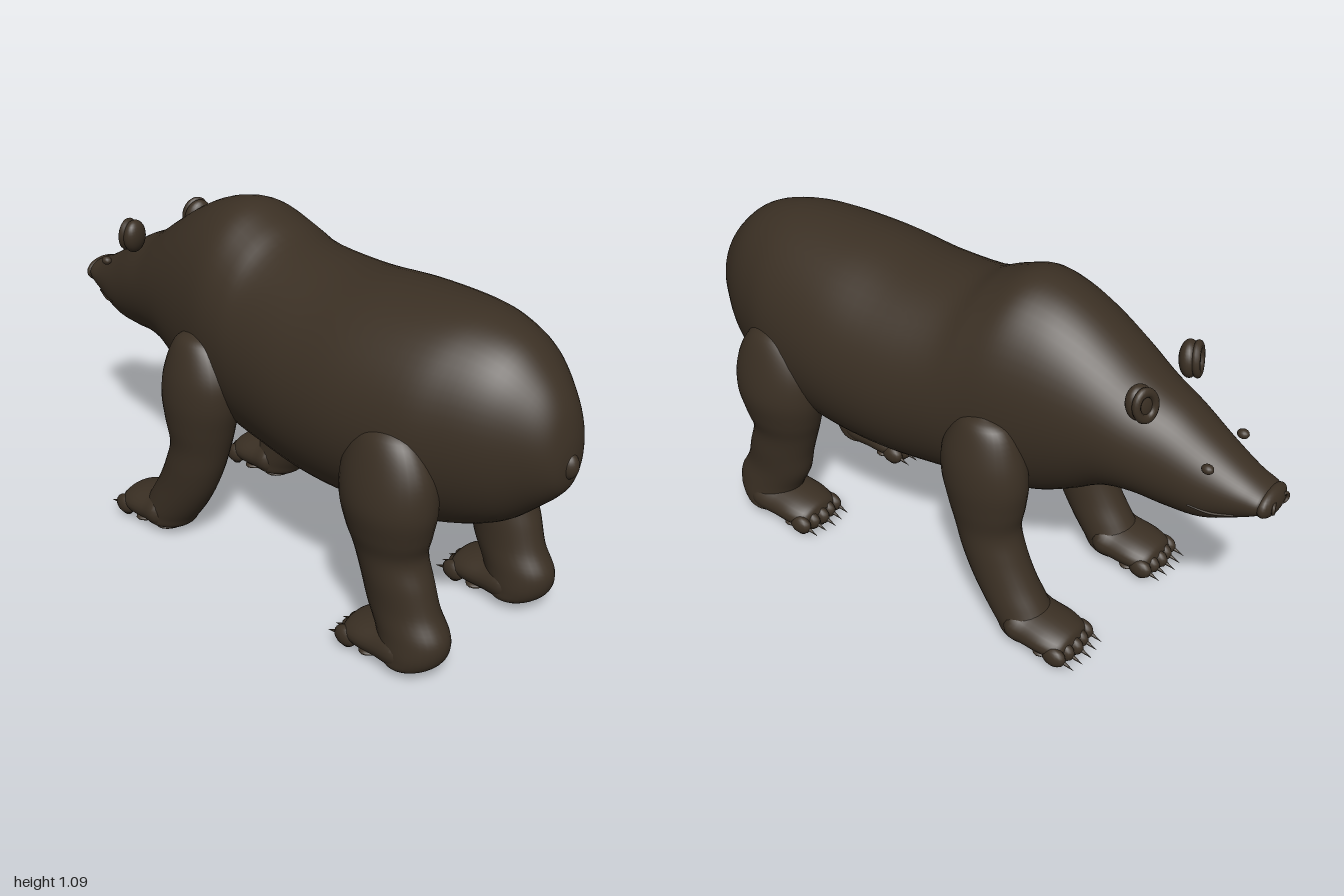
import * as THREE from 'three';

const fur = new THREE.MeshStandardMaterial({ color: 0x3b3024 });
fur.name = 'dark brown fur';

// Smooth closed skin through elliptical sections [x, y, z, r1, r2].
// flat = true lays rings in XZ (listed top to bottom), else in XY (listed -z to +z).
function loft(sections, flat, steps = 48, sides = 40) {
  const centre = new THREE.CatmullRomCurve3(sections.map(s => new THREE.Vector3(s[0], s[1], s[2])), false, 'catmullrom', 0.5);
  const radius = new THREE.CatmullRomCurve3(sections.map(s => new THREE.Vector3(s[3], s[4], 0)), false, 'catmullrom', 0.5);
  const pos = [], index = [];
  for (let i = 0; i <= steps; i++) {
    const c = centre.getPoint(i / steps), r = radius.getPoint(i / steps);
    for (let j = 0; j < sides; j++) {
      const a = j / sides * Math.PI * 2;
      const u = Math.cos(a) * Math.max(r.x, 0.001), v = Math.sin(a) * Math.max(r.y, 0.001);
      pos.push(c.x + u, c.y + (flat ? 0 : v), c.z + (flat ? v : 0));
      if (i === steps) continue;
      const k = (j + 1) % sides, p = i * sides + j, q = i * sides + k;
      index.push(p, q, p + sides, q, q + sides, p + sides);
    }
  }
  const g = new THREE.BufferGeometry();
  g.setAttribute('position', new THREE.Float32BufferAttribute(pos, 3));
  g.setIndex(index);
  g.computeVertexNormals();
  return g;
}

function add(parent, name, geometry, x = 0, y = 0, z = 0) {
  const m = new THREE.Mesh(geometry, fur);
  m.name = name;
  m.position.set(x, y, z);
  parent.add(m);
  return m;
}

function ball(parent, name, x, y, z, rx, ry, rz, detail = 24) {
  const m = add(parent, name, new THREE.SphereGeometry(1, detail, Math.ceil(detail * 0.7)), x, y, z);
  m.scale.set(rx, ry, rz);
  return m;
}

// Torso and head: [z, top, bottom, half width]
const bodyProfile = [
  [-0.975, 0.665, 0.635, 0.02], [-0.965, 0.69, 0.615, 0.065], [-0.9, 0.72, 0.575, 0.085],
  [-0.8, 0.78, 0.53, 0.115], [-0.7, 0.845, 0.524, 0.14], [-0.6, 0.895, 0.53, 0.165],
  [-0.5, 0.965, 0.51, 0.19], [-0.4, 1.03, 0.45, 0.215], [-0.3, 1.075, 0.4, 0.238],
  [-0.2, 1.09, 0.375, 0.258], [-0.1, 1.055, 0.363, 0.273], [0, 1.015, 0.358, 0.288],
  [0.2, 1.002, 0.345, 0.314], [0.4, 1.018, 0.35, 0.317], [0.6, 1.024, 0.372, 0.288],
  [0.72, 1.012, 0.405, 0.245], [0.82, 0.975, 0.455, 0.195], [0.9, 0.905, 0.525, 0.135],
  [0.95, 0.835, 0.575, 0.09], [0.975, 0.76, 0.615, 0.05], [0.985, 0.69, 0.68, 0.002],
];

// Legs, listed for the +x side, top to bottom
const foreLeg = [
  [0.245, 0.74, -0.2, 0.005, 0.01], [0.24, 0.71, -0.2, 0.055, 0.08], [0.238, 0.62, -0.195, 0.09, 0.128],
  [0.238, 0.53, -0.2, 0.1, 0.138], [0.236, 0.44, -0.205, 0.095, 0.123], [0.235, 0.36, -0.21, 0.085, 0.105],
  [0.238, 0.28, -0.235, 0.082, 0.104], [0.24, 0.2, -0.272, 0.08, 0.105], [0.24, 0.13, -0.315, 0.082, 0.105],
  [0.24, 0.07, -0.355, 0.083, 0.1], [0.24, 0.03, -0.37, 0.075, 0.08], [0.24, 0.015, -0.37, 0.005, 0.005],
];
const hindLeg = [
  [0.25, 0.75, 0.58, 0.005, 0.01], [0.25, 0.71, 0.58, 0.06, 0.09], [0.25, 0.62, 0.58, 0.095, 0.143],
  [0.25, 0.52, 0.582, 0.11, 0.153], [0.245, 0.43, 0.582, 0.1, 0.135], [0.238, 0.36, 0.585, 0.088, 0.115],
  [0.236, 0.28, 0.61, 0.084, 0.115], [0.233, 0.2, 0.633, 0.081, 0.118], [0.233, 0.13, 0.67, 0.086, 0.118],
  [0.234, 0.07, 0.68, 0.09, 0.1], [0.234, 0.03, 0.67, 0.08, 0.07], [0.234, 0.015, 0.67, 0.005, 0.005],
];

// Foot pointing to -z, with toes, claws and sole pads
function buildFoot(parent, x, toeZ, length) {
  const foot = new THREE.Group();
  foot.name = 'foot';
  foot.position.set(x, 0, toeZ);
  parent.add(foot);
  add(foot, 'instep', loft([
    [0, 0.05, 0.015, 0.03, 0.02], [0, 0.055, 0.03, 0.075, 0.04], [0, 0.062, 0.08, 0.093, 0.052],
    [0, 0.068, 0.15, 0.093, 0.06], [0, 0.075, length - 0.05, 0.09, 0.065], [0, 0.07, length, 0.02, 0.02],
  ], false, 24, 28));
  const claw = new THREE.ConeGeometry(0.008, 0.05, 8);
  for (let i = -2; i <= 2; i++) {
    const back = Math.abs(i) * 0.007;
    ball(foot, 'toe', i * 0.037, 0.045, 0.03 + back, 0.023, 0.032, 0.04, 14);
    const c = add(foot, 'claw', claw, i * 0.037, 0.036, -0.018 + back);
    c.rotation.x = -Math.PI / 2 - 0.3;
    ball(foot, 'toePad', i * 0.034, 0.015, 0.03 + back, 0.014, 0.01, 0.018, 12);
  }
  ball(foot, 'ballPad', 0, 0.014, 0.105, 0.075, 0.014, 0.04, 20);
  ball(foot, 'heelPad', 0, 0.016, length - 0.07, 0.06, 0.013, 0.045, 20);
}

export function createModel() {
  const bear = new THREE.Group();
  bear.name = 'bear';

  add(bear, 'body', loft(bodyProfile.map(([z, t, b, w]) => [0, (t + b) / 2, z, w, (t - b) / 2]), false, 100, 56));
  ball(bear, 'tail', 0, 0.675, 0.965, 0.028, 0.04, 0.035);

  // Nose with nostrils
  ball(bear, 'nose', 0, 0.65, -0.97, 0.072, 0.042, 0.027);
  for (const s of [-1, 1]) {
    const nostril = add(bear, 'nostril', new THREE.TorusGeometry(0.014, 0.005, 8, 16), s * 0.03, 0.65, -0.992);
    nostril.rotation.y = s * 0.35;

    // Eye, mouth line and ear
    ball(bear, 'eye', s * 0.098, 0.745, -0.822, 0.015, 0.014, 0.018, 14);
    const mouth = new THREE.CatmullRomCurve3([
      new THREE.Vector3(s * 0.112, 0.615, -0.78), new THREE.Vector3(s * 0.094, 0.603, -0.84),
      new THREE.Vector3(s * 0.073, 0.61, -0.9),
    ]);
    add(bear, 'mouthLine', new THREE.TubeGeometry(mouth, 12, 0.004, 6));

    const ear = new THREE.Group();
    ear.name = 'ear';
    ear.position.set(s * 0.133, 0.895, -0.63);
    ear.rotation.set(0.12, -s * 0.3, -s * 0.2);
    bear.add(ear);
    ball(ear, 'earBack', 0, 0, 0.008, 0.044, 0.055, 0.03);
    const rim = add(ear, 'earRim', new THREE.TorusGeometry(0.032, 0.012, 10, 28), 0, 0, -0.016);
    rim.scale.y = 1.25;

    // Legs and feet
    for (const [name, sections, x, toeZ, length] of [
      ['frontLeg', foreLeg, 0.24, -0.55, 0.26], ['backLeg', hindLeg, 0.234, 0.445, 0.29]]) {
      const leg = new THREE.Group();
      leg.name = name;
      bear.add(leg);
      add(leg, 'limb', loft(sections.map(([cx, ...rest]) => [s * cx, ...rest]), true, 60, 32));
      buildFoot(leg, s * x, toeZ, length);
    }
  }
  return bear;
}
